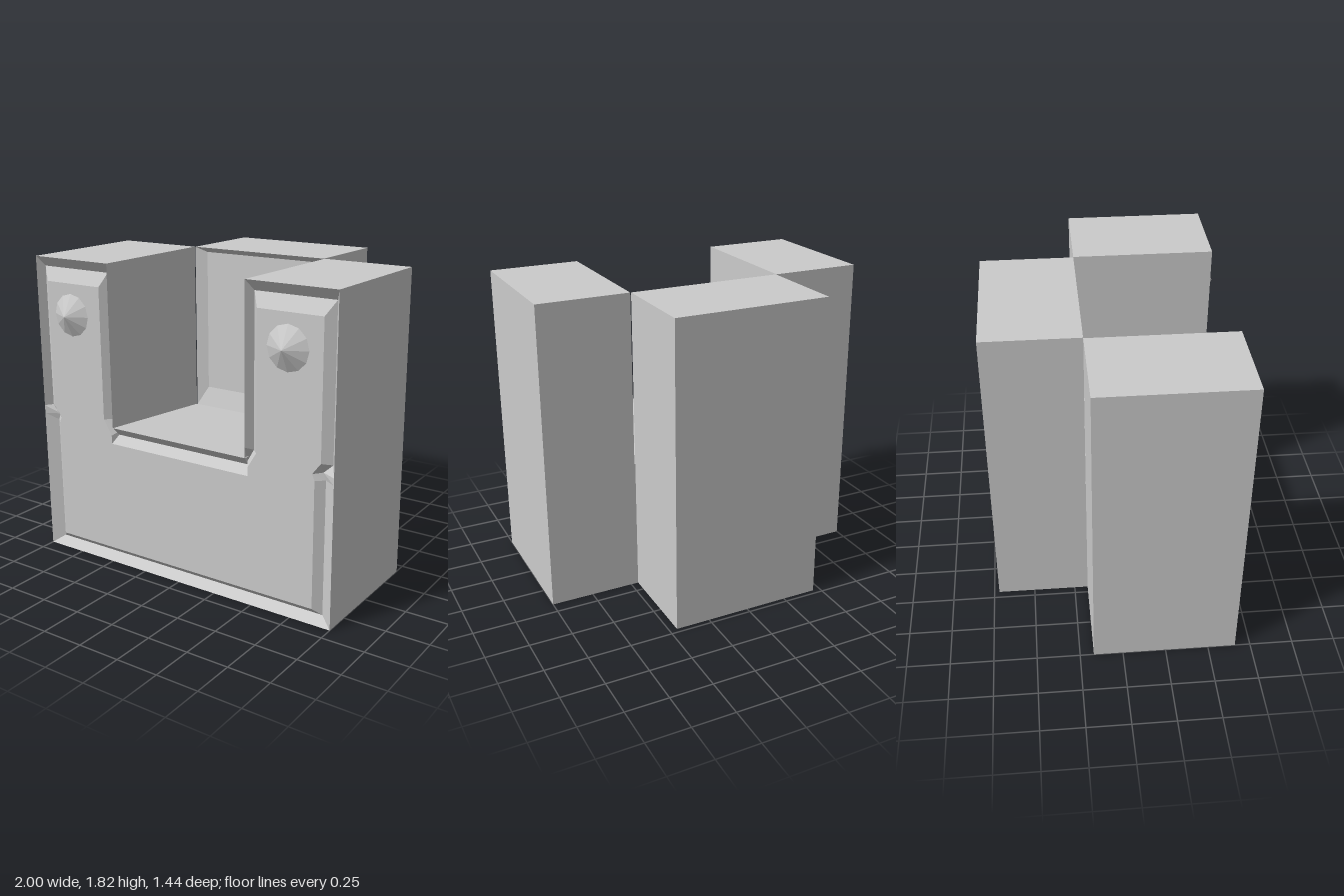
import * as THREE from 'three';

const material = new THREE.MeshStandardMaterial({ color: 0xcccccc });

// Closed solid skinned through matching loops; each loop is { z, pts } counter-clockwise from the front
function loft(name, loops) {
  const pos = [];
  const put = (loop, i) => pos.push(loop.pts[i][0], loop.pts[i][1], loop.z);
  for (let k = 0; k < loops.length - 1; k++) {
    const a = loops[k], b = loops[k + 1], n = a.pts.length;
    for (let i = 0; i < n; i++) {
      const j = (i + 1) % n;
      put(a, i); put(a, j); put(b, j);
      put(a, i); put(b, j); put(b, i);
    }
  }
  const cap = (loop, front) => {
    const outline = loop.pts.map(([x, y]) => new THREE.Vector2(x, y));
    for (const [a, b, c] of THREE.ShapeUtils.triangulateShape(outline, [])) {
      for (const i of front ? [a, b, c] : [a, c, b]) put(loop, i);
    }
  };
  cap(loops[0], false);
  cap(loops[loops.length - 1], true);
  const geometry = new THREE.BufferGeometry();
  geometry.setAttribute('position', new THREE.Float32BufferAttribute(pos, 3));
  geometry.computeVertexNormals();
  const mesh = new THREE.Mesh(geometry, material);
  mesh.name = name;
  return mesh;
}

// Mirrors a half outline in x to close it
const mirror = (half) => [...half, ...half.map(([x, y]) => [-x, y]).reverse()];

const rect = (w, y0, y1) => [[-w, y0], [w, y0], [w, y1], [-w, y1]];

export function createModel() {
  const group = new THREE.Group();
  group.name = 'notchedBlock';

  // U-shaped block: outer shell, bevelled groove and raised front panel
  const shell = (floor) => mirror([
    [1, 0], [1, 0.82], [1, 0.86], [1, 0.91], [1, 1.82],
    [0.46, 1.82], [0.46, 0.92], [0.46, floor + 0.01], [0.46, floor],
  ]);
  const groove = mirror([
    [0.93, 0.05], [0.93, 0.82], [0.915, 0.86], [0.97, 0.91], [0.97, 1.76],
    [0.49, 1.76], [0.49, 0.9], [0.45, 0.83], [0.45, 0.81],
  ]);
  const panel = mirror([
    [0.885, 0.09], [0.885, 0.82], [0.87, 0.855], [0.92, 0.92], [0.92, 1.68],
    [0.53, 1.68], [0.53, 0.9], [0.475, 0.81], [0.475, 0.76],
  ]);
  group.add(loft('uBlock', [
    { z: -0.17, pts: shell(0.8) },
    { z: 0.66, pts: shell(0.86) },
    { z: 0.615, pts: groove },
    { z: 0.655, pts: panel },
  ]));

  // Rear column with a shallow bevelled recess facing the slot
  group.add(loft('rearColumn', [
    { z: -0.72, pts: rect(0.455, 0, 1.82) },
    { z: -0.17, pts: rect(0.455, 0, 1.82) },
    { z: -0.17, pts: rect(0.455, 0.8, 1.82) },
    { z: -0.2, pts: rect(0.385, 0.92, 1.79) },
  ]));

  // Pointed studs on the front of both arms
  const studMaterial = material.clone();
  studMaterial.flatShading = true;
  for (const [name, x] of [['leftStud', 0.715], ['rightStud', -0.745]]) {
    const stud = new THREE.Mesh(new THREE.ConeGeometry(0.135, 0.07, 12), studMaterial);
    stud.name = name;
    stud.rotation.x = Math.PI / 2;
    stud.position.set(x, 1.495, 0.685);
    group.add(stud);
  }
  return group;
}
